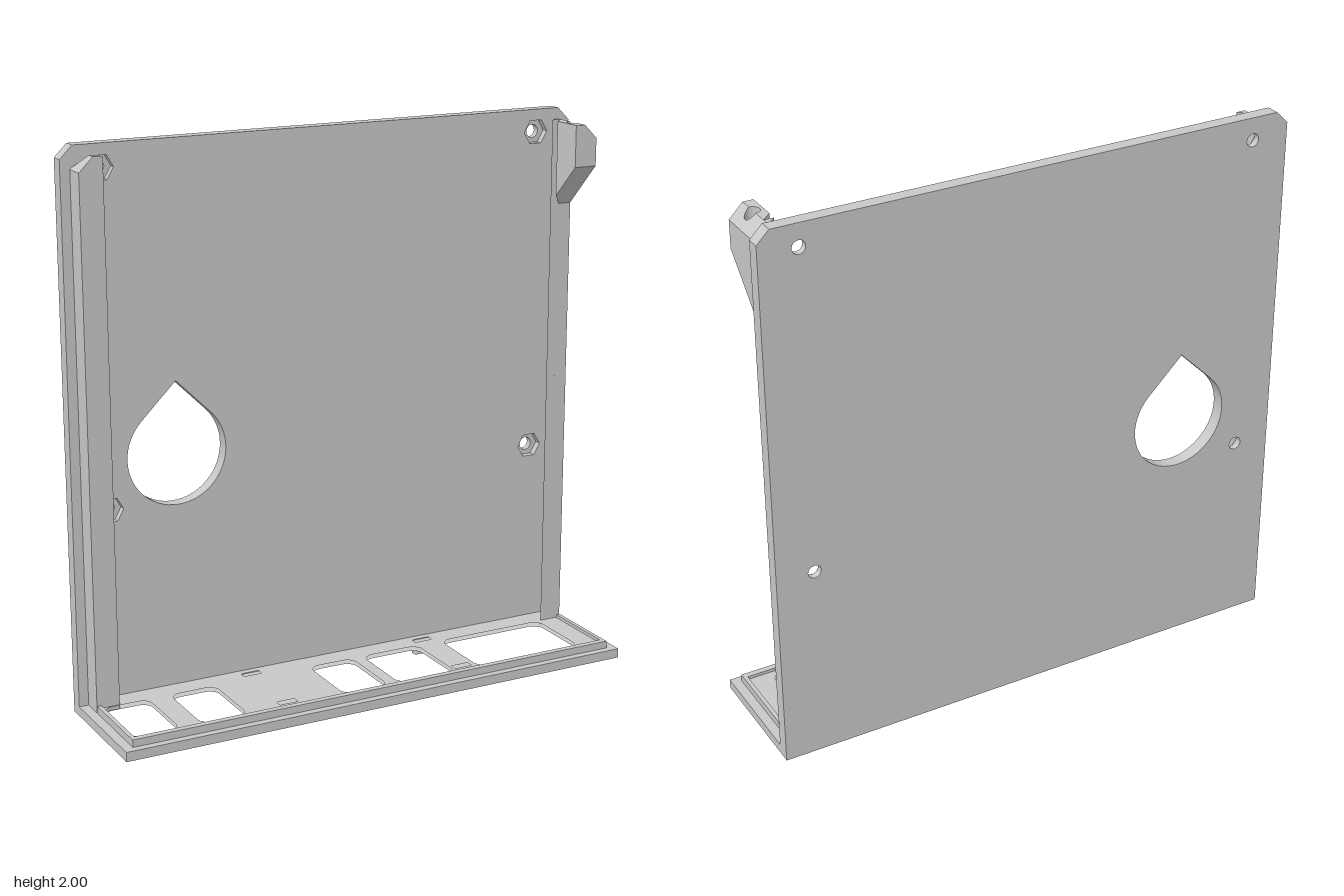
import * as THREE from 'three';
import { toCreasedNormals } from 'three/addons/utils/BufferGeometryUtils.js';

const gray = new THREE.MeshStandardMaterial({ color: 0xc8c8c8 });
gray.name = 'lightGray';

// Circle or arc as [x, y] points
function arc(cx, cy, r, from, to, n) {
  return Array.from({ length: n + 1 }, (_, i) => {
    const a = from + ((to - from) * i) / n;
    return [cx + r * Math.cos(a), cy + r * Math.sin(a)];
  });
}

const toVectors = (pts) => pts.map(([x, y]) => new THREE.Vector2(x, y));

// Rectangle with rounded corners
function roundedRect(x0, y0, x1, y1, r) {
  const q = Math.PI / 2;
  return [
    ...arc(x1 - r, y1 - r, r, 0, q, 6), ...arc(x0 + r, y1 - r, r, q, 2 * q, 6),
    ...arc(x0 + r, y0 + r, r, 2 * q, 3 * q, 6), ...arc(x1 - r, y0 + r, r, 3 * q, 4 * q, 6),
  ];
}

function extrude(pts, holes, depth) {
  const shape = new THREE.Shape(toVectors(pts));
  holes.forEach((h) => shape.holes.push(new THREE.Path(toVectors(h))));
  return new THREE.ExtrudeGeometry(shape, { depth, bevelEnabled: false });
}

function addMesh(parent, name, geometry) {
  const mesh = new THREE.Mesh(toCreasedNormals(geometry, 0.5), gray);
  mesh.name = name;
  parent.add(mesh);
}

// Upright prism from an (x, z) outline; bottom and top heights are functions of x and z
function column(parent, name, pts, bottom, top, holes = [], side = 1) {
  const flip = (list) => list.map(([x, z]) => [side * x, -z]);
  const g = extrude(flip(pts), holes.map(flip), 1).rotateX(-Math.PI / 2);
  const p = g.attributes.position;
  for (let i = 0; i < p.count; i++) {
    const x = Math.abs(p.getX(i)), z = p.getZ(i);
    p.setY(i, p.getY(i) > 0.5 ? top(x, z) : bottom(x, z));
  }
  addMesh(parent, name, g);
}

export function createModel() {
  const model = new THREE.Group();
  model.name = 'panel';
  const W = 0.985, C = 0.9;
  const flat = (y) => () => y;
  const chamferTop = (x) => 1.97 - Math.max(0, x - C);

  // Back plate: round holes behind, nut pockets in front, teardrop opening through both
  const outline = [[-W, 0], [W, 0], [W, 1.955], [W - 0.045, 2], [-W + 0.045, 2], [-W, 1.955]];
  const teardrop = [...arc(-0.593, 0.903, 0.185, 0.75 * Math.PI, 2.25 * Math.PI, 48), [-0.593, 1.163]];
  const screws = [[-0.845, 1.918], [0.845, 1.918], [-0.845, 0.733], [0.845, 0.733]];
  const drilled = (r, n) => screws.map(([x, y]) => arc(x, y, r, 0, 2 * Math.PI, n).slice(0, -1));
  const backLayer = extrude(outline, [teardrop, ...drilled(0.024, 24)], 0.025);
  addMesh(model, 'backPlate', backLayer.translate(0, 0, -0.24));
  const frontLayer = extrude(outline, [teardrop, ...drilled(0.048, 6)], 0.025);
  addMesh(model, 'nutPocketPlate', frontLayer.translate(0, 0, -0.215));

  // Base shelf and its raised floor, with connector openings and tie slots
  const openings = [[-0.932, -0.76], [-0.678, -0.505], [-0.13, 0.045], [0.09, 0.32], [0.42, 0.85]]
    .map(([a, b]) => roundedRect(a, -0.105, b, 0.174, 0.04));
  for (const x of [-0.375, 0.33]) {
    for (const z of [-0.163, 0.127]) openings.push(roundedRect(x, z, x + 0.07, z + 0.027, 0.004));
  }
  column(model, 'baseShelf', [[-W, -0.19], [W, -0.19], [W, 0.24], [-W, 0.24]], flat(0), flat(0.035), openings);
  column(model, 'shelfFloor', [[-0.935, -0.19], [0.935, -0.19], [0.935, 0.19], [-0.935, 0.19]],
    flat(0.035), flat(0.05), openings);

  // Raised lip along the front and sides of the shelf
  column(model, 'shelfLip', [
    [-0.95, -0.105], [-0.95, 0.213], [0.95, 0.213], [0.95, -0.105],
    [0.935, -0.105], [0.935, 0.19], [-0.935, 0.19], [-0.935, -0.105],
  ], flat(0.035), flat(0.062));

  // Undercut side rails with chamfered top corners
  for (const side of [-1, 1]) {
    const rail = new THREE.Group();
    rail.name = side > 0 ? 'leftRail' : 'rightRail';
    model.add(rail);
    column(rail, 'railWall', [[0.95, -0.19], [0.945, -0.19], [C, -0.145], [C, -0.11], [0.95, -0.11]],
      flat(0.035), chamferTop, [], side);
    column(rail, 'railOverhang', [[C, -0.145], [0.865, -0.11], [C, -0.11]],
      flat(0.035), chamferTop, [], side);
  }

  // Bracket at the top of the left rail, with a blind screw hole in its top
  const bracket = new THREE.Group();
  bracket.name = 'bracket';
  model.add(bracket);
  const h = Math.PI / 2;
  column(bracket, 'bracketFoot', [[C, -0.11], [0.863, -0.073], [0.863, 0.047], [0.95, 0.047], [0.95, -0.11]],
    (x, z) => 1.773 + z, flat(1.86));
  column(bracket, 'bracketInnerTop', [[C, -0.11], [0.863, -0.073], [0.863, 0.047], [C, 0.047],
    ...arc(C, -0.026, 0.026, h, 3 * h, 12)], flat(1.86), chamferTop);
  column(bracket, 'bracketOuterTop', [[C, -0.11], [0.95, -0.11], [0.95, 0.047], [C, 0.047],
    ...arc(C, -0.026, 0.026, h, -h, 12)], flat(1.86), chamferTop);

  return model;
}
